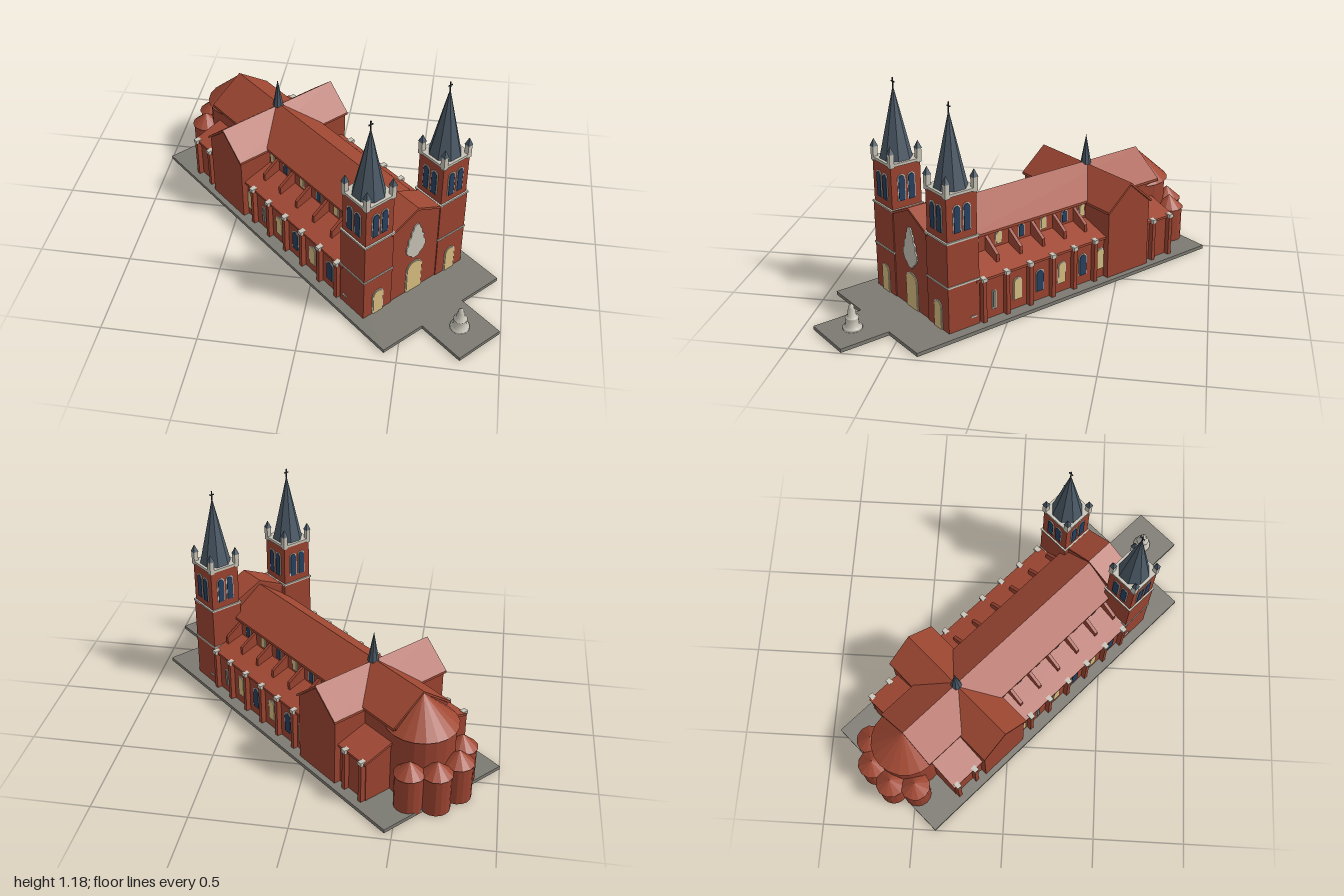
import * as THREE from 'three';

const mat = (name, color, extra = {}) => {
  const m = new THREE.MeshStandardMaterial({ color, ...extra });
  m.name = name;
  return m;
};

export function createModel() {
  const brick = mat('brick', 0x9a4330, { flatShading: true });
  const tile = mat('roofTile', 0xa04833, { flatShading: true });
  const slate = mat('slate', 0x4b5966, { flatShading: true });
  const stone = mat('stone', 0xc6c2b6);
  const paving = mat('paving', 0x7c7a72);
  const blue = mat('blueGlass', 0x27405f);
  const amber = mat('amberGlass', 0xd6bd80);
  const iron = mat('iron', 0x2b3138);

  const model = new THREE.Group();
  model.name = 'church';
  const body = new THREE.Group();
  body.name = 'churchBody';
  body.rotation.y = 0.8255;
  body.position.set(-0.004, 0, 0.004);
  model.add(body);

  // helpers
  const add = (name, geo, material, x = 0, y = 0, z = 0, parent = body) => {
    const m = new THREE.Mesh(geo, material);
    m.name = name;
    m.position.set(x, y, z);
    parent.add(m);
    return m;
  };
  // box given by its base height and top height
  const block = (name, w, d, y0, y1, material, x = 0, z = 0, parent = body) =>
    add(name, new THREE.BoxGeometry(w, y1 - y0, d), material, x, (y0 + y1) / 2, z, parent);
  const shapeOf = pts => new THREE.Shape(pts.map(p => new THREE.Vector2(p[0], p[1])));
  const extrude = (shape, depth) => new THREE.ExtrudeGeometry(shape, { depth, bevelEnabled: false, curveSegments: 8 });
  const prism = (name, pts, z0, z1, material, parent = body) =>
    add(name, extrude(shapeOf(pts), z1 - z0), material, 0, 0, z0, parent);
  const gable = (w, eave, ridge) => [[-w, 0.01], [w, 0.01], [w, eave], [0, ridge], [-w, eave]];
  const chevron = (w, eave, ridge, t = 0.014) =>
    [[-w, eave - t], [0, ridge - t], [w, eave - t], [w, eave], [0, ridge], [-w, eave]];
  const arch = (w, h) => {
    const s = new THREE.Shape();
    s.moveTo(-w / 2, 0);
    s.lineTo(w / 2, 0);
    s.lineTo(w / 2, h - w / 2);
    s.absarc(0, h - w / 2, w / 2, 0, Math.PI, false);
    s.lineTo(-w / 2, 0);
    return s;
  };
  // arched opening: stone frame with a thin pane in front
  const opening = (name, x, y, z, turn, w, h, pane, parent = body) => {
    const g = new THREE.Group();
    g.name = name;
    g.position.set(x, y, z);
    g.rotation.y = turn;
    parent.add(g);
    add('frame', extrude(arch(w + 0.01, h + 0.006), 0.004), stone, 0, 0, 0, g);
    add('pane', extrude(arch(w, h), 0.007), pane, 0, 0, 0, g);
  };

  // ground slabs
  block('groundSlab', 0.795, 1.95, 0, 0.02, paving, 0, -0.015);
  block('forecourtSlab', 0.28, 0.27, 0, 0.02, paving, 0, 1.095);

  // nave and choir
  prism('naveWalls', gable(0.172, 0.415, 0.545), -0.8, 0.6, brick);
  prism('naveRoof', chevron(0.192, 0.418, 0.557), -0.805, 0.6, tile);

  // transept
  const transept = new THREE.Group();
  transept.name = 'transept';
  transept.position.z = -0.424;
  transept.rotation.y = Math.PI / 2;
  body.add(transept);
  prism('transeptWalls', gable(0.146, 0.402, 0.53), -0.366, 0.366, brick, transept);
  prism('transeptRoof', chevron(0.156, 0.41, 0.545), -0.376, 0.376, tile, transept);

  // aisles with buttresses, fins and windows on both sides
  const bays = [-0.2, -0.057, 0.09, 0.237, 0.386, 0.53];
  for (const s of [-1, 1]) {
    const mir = pts => pts.map(([x, y]) => [s * x, y]);
    prism('aisleWalls', mir([[0.1, 0.01], [0.33, 0.01], [0.33, 0.252], [0.1, 0.322]]), -0.77, 0.57, brick);
    prism('aisleRoof', mir([[0.16, 0.302], [0.346, 0.245], [0.346, 0.258], [0.16, 0.316]]), -0.778, 0.57, tile);
    for (const z of [-0.755, -0.628, ...bays]) {
      block('buttress', 0.03, 0.022, 0.01, 0.248, brick, s * 0.343, z);
      block('buttressCap', 0.034, 0.028, 0.246, 0.266, stone, s * 0.346, z);
    }
    for (const z of bays)
      prism('roofFin', mir([[0.16, 0.27], [0.27, 0.25], [0.27, 0.325], [0.16, 0.4]]), z - 0.009, z + 0.009, brick);
    const turn = s * Math.PI / 2;
    const panes = s > 0 ? [null, amber, blue, amber, blue, amber] : [blue, amber, blue, amber, null, amber];
    panes.forEach((pane, i) => {
      const z = i === 5 ? -0.25 : 0.455 - i * 0.146;
      if (pane) opening('aisleWindow', s * 0.329, 0.072, z, turn, 0.045, 0.118, pane);
      else opening('sideDoor', s * 0.329, 0.065, z, turn, 0.018, 0.1, paving);
      opening('clerestoryWindow', s * 0.171, 0.328, z, turn, 0.032, 0.066, i % 2 ? amber : blue);
    });
    block('wallTablet', 0.006, 0.035, 0.066, 0.074, stone, s * 0.344, 0.59);
  }

  // apse with ring of small chapels
  add('apseWall', new THREE.CylinderGeometry(0.176, 0.176, 0.37, 20), brick, 0, 0.195, -0.802);
  add('apseRoof', new THREE.ConeGeometry(0.19, 0.17, 20), tile, 0, 0.465, -0.802);
  for (const deg of [-57, -20, 20, 57]) {
    const a = deg * Math.PI / 180;
    const x = Math.sin(a) * 0.213, z = -0.802 - Math.cos(a) * 0.213;
    add('chapelWall', new THREE.CylinderGeometry(0.075, 0.075, 0.21, 16), brick, x, 0.11, z);
    add('chapelRoof', new THREE.ConeGeometry(0.082, 0.072, 12), tile, x, 0.25, z);
  }

  // small spire over the crossing
  add('crossingSpire', new THREE.ConeGeometry(0.03, 0.17, 8), slate, 0, 0.63, -0.424);

  // west front between the towers
  prism('facade', gable(0.17, 0.495, 0.57), 0.58, 0.732, brick);
  prism('facadeRoof', chevron(0.17, 0.5, 0.58), 0.575, 0.74, tile);
  opening('mainDoor', 0, 0.02, 0.731, 0, 0.098, 0.195, amber);
  const half = [[0.018, 0.25], [0.03, 0.268], [0.052, 0.285], [0.064, 0.31], [0.062, 0.34], [0.05, 0.355],
    [0.052, 0.385], [0.036, 0.4], [0.034, 0.43], [0.024, 0.44], [0.02, 0.46], [0.008, 0.472]];
  const ornament = [...half, ...half.map(([x, y]) => [-x, y]).reverse()];
  prism('facadeOrnament', ornament, 0.731, 0.739, stone);

  // twin towers
  for (const s of [-1, 1]) {
    const t = new THREE.Group();
    t.name = s > 0 ? 'leftTower' : 'rightTower';
    t.position.set(s * 0.249, 0, 0.645);
    body.add(t);
    block('towerShaft', 0.186, 0.186, 0.01, 0.505, brick, 0, 0, t);
    block('belfry', 0.176, 0.176, 0.505, 0.745, brick, 0, 0, t);
    for (const y of [0.27, 0.505]) block('stringCourse', 0.194, 0.194, y - 0.005, y + 0.005, stone, 0, 0, t);
    block('cornice', 0.188, 0.188, 0.742, 0.757, stone, 0, 0, t);
    opening('towerDoor', 0, 0.02, 0.092, 0, 0.062, 0.148, amber, t);
    for (let i = 0; i < 4; i++) {
      const a = i * Math.PI / 2;
      const side = new THREE.Group();
      side.name = 'belfrySide';
      side.rotation.y = a;
      t.add(side);
      for (const x of [-0.029, 0.029]) opening('belfryWindow', x, 0.55, 0.087, 0, 0.036, 0.138, blue, side);
      block('pinnacle', 0.026, 0.026, 0.735, 0.81, stone, 0.081, 0.081, side);
      const cap = add('pinnacleCap', new THREE.ConeGeometry(0.022, 0.042, 4), slate, 0.081, 0.831, 0.081, side);
      cap.rotation.y = Math.PI / 4;
    }
    const spire = add('spire', new THREE.ConeGeometry(0.086, 0.385, 8), slate, 0, 0.947, 0, t);
    spire.rotation.y = Math.PI / 8;
    block('crossPost', 0.005, 0.005, 1.125, 1.178, iron, 0, 0, t);
    block('crossArm', 0.026, 0.005, 1.154, 1.16, iron, 0, 0, t);
  }

  // monument on the forecourt
  const profile = [[0, 0.02], [0.05, 0.02], [0.05, 0.036], [0.034, 0.042], [0.032, 0.08], [0.036, 0.088],
    [0.022, 0.094], [0.019, 0.125], [0.013, 0.132], [0.014, 0.145], [0, 0.162]];
  add('monument', new THREE.LatheGeometry(profile.map(p => new THREE.Vector2(...p)), 16), stone, 0, 0, 1.085);

  return model;
}
